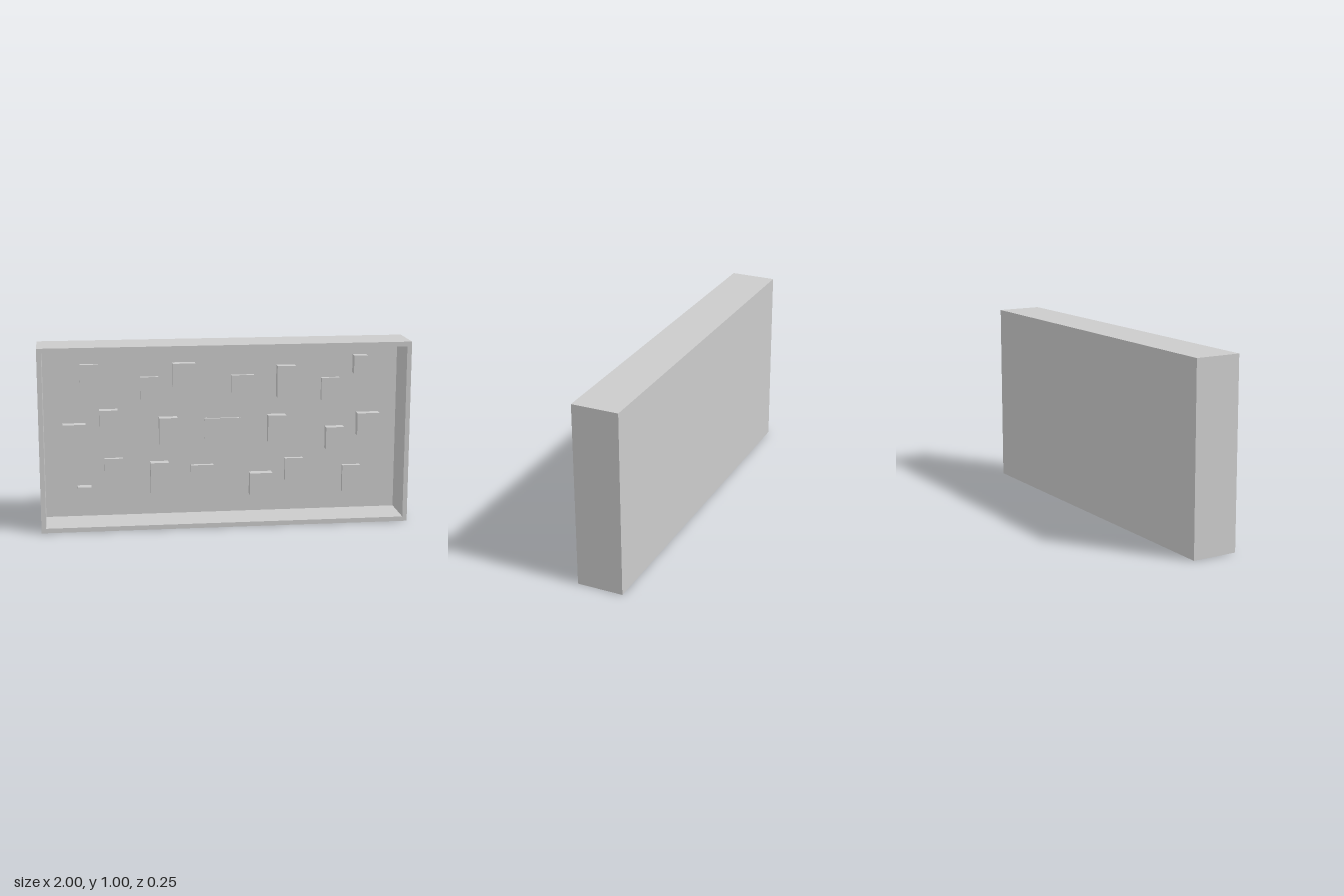
import * as THREE from 'three';

const W = 2, H = 1, D = 0.25, T = 0.025; // outer size and wall thickness
const PANEL_Z = -D / 2 + T;              // front surface of the back panel

// Blocks on the panel: left, bottom, width, height, depth
const BLOCKS = [
  [-0.775, 0.725, 0.1, 0.15, 0.025],
  [-0.45, 0.675, 0.1, 0.125, 0.025],
  [-0.275, 0.75, 0.125, 0.125, 0.05],
  [0.05, 0.7, 0.125, 0.1, 0.025],
  [0.3, 0.675, 0.1, 0.175, 0.05],
  [0.55, 0.65, 0.1, 0.125, 0.025],
  [0.725, 0.8, 0.075, 0.1, 0.05],
  [-0.875, 0.425, 0.125, 0.125, 0.05],
  [-0.675, 0.5, 0.1, 0.125, 0.05],
  [-0.35, 0.425, 0.1, 0.15, 0.05],
  [0.25, 0.425, 0.1, 0.15, 0.05],
  [0.575, 0.375, 0.1, 0.125, 0.05],
  [0.75, 0.45, 0.125, 0.125, 0.05],
  [-0.65, 0.225, 0.1, 0.125, 0.025],
  [-0.4, 0.15, 0.1, 0.175, 0.05],
  [-0.175, 0.2, 0.125, 0.1, 0.025],
  [0.15, 0.125, 0.125, 0.125, 0.05],
  [0.35, 0.2, 0.1, 0.125, 0.025],
  [0.675, 0.125, 0.1, 0.15, 0.025],
  [-0.8, 0.1, 0.075, 0.1, 0.05],
];

export function createModel() {
  const model = new THREE.Group();
  model.name = 'wallCase';
  const material = new THREE.MeshStandardMaterial({ color: 0xcccccc });

  const add = (name, geometry, x, y, z, parent = model) => {
    const mesh = new THREE.Mesh(geometry, material);
    mesh.name = name;
    mesh.position.set(x, y, z);
    parent.add(mesh);
    return mesh;
  };

  // Rectangular rim, open at the front
  const rim = new THREE.Shape([
    new THREE.Vector2(-W / 2, 0), new THREE.Vector2(W / 2, 0),
    new THREE.Vector2(W / 2, H), new THREE.Vector2(-W / 2, H),
  ]);
  rim.holes.push(new THREE.Path([
    new THREE.Vector2(-W / 2 + T, T), new THREE.Vector2(-W / 2 + T, H - T),
    new THREE.Vector2(W / 2 - T, H - T), new THREE.Vector2(W / 2 - T, T),
  ]));
  add('frame', new THREE.ExtrudeGeometry(rim, { depth: D - T, bevelEnabled: false }), 0, 0, PANEL_Z);

  // Solid back
  add('backPanel', new THREE.BoxGeometry(W, H, T), 0, H / 2, -D / 2 + T / 2);

  // Scattered raised blocks
  const blocks = new THREE.Group();
  blocks.name = 'blocks';
  model.add(blocks);
  BLOCKS.forEach(([x, y, w, h, d], i) => {
    add(`block${i + 1}`, new THREE.BoxGeometry(w, h, d), x + w / 2, y + h / 2, PANEL_Z + d / 2, blocks);
  });

  // Central plate held off the panel by four corner posts
  const plaque = new THREE.Group();
  plaque.name = 'plaque';
  plaque.position.set(0, 0.5, PANEL_Z);
  model.add(plaque);
  add('plate', new THREE.BoxGeometry(0.2, 0.125, 0.0125), 0, 0, 0.01875, plaque);
  const post = new THREE.CylinderGeometry(0.0125, 0.0125, 0.0125, 16).rotateX(Math.PI / 2);
  for (const sx of [-1, 1]) {
    for (const sy of [-1, 1]) add('post', post, sx * 0.0875, sy * 0.05, 0.00625, plaque);
  }

  return model;
}
